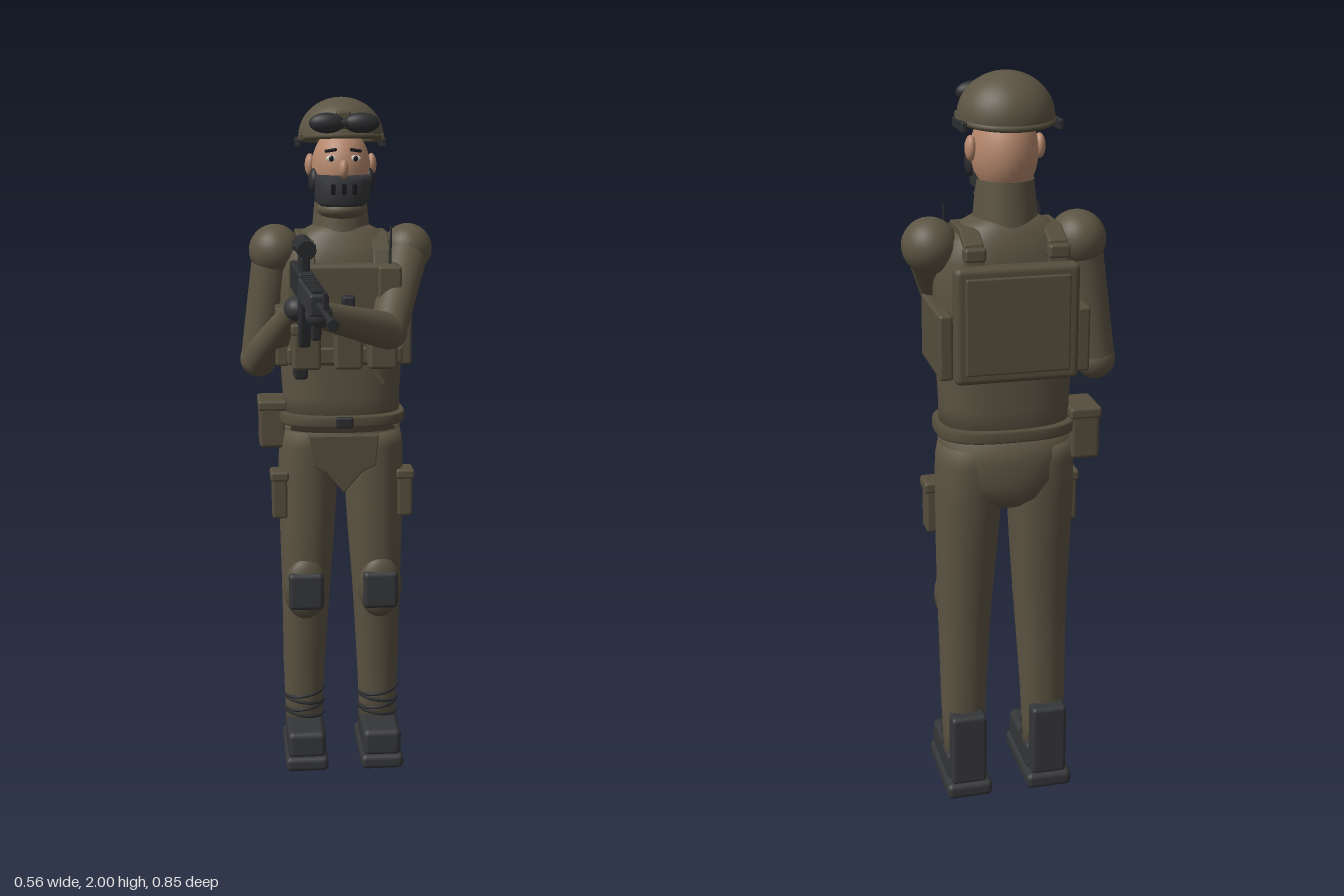
import * as THREE from 'three';
import { RoundedBoxGeometry } from 'three/addons/geometries/RoundedBoxGeometry.js';

const mat = (name, color, side = THREE.FrontSide) =>
  Object.assign(new THREE.MeshStandardMaterial({ color, side }), { name });

export function createModel() {
  const cloth = mat('olive cloth', 0x5c5443, THREE.DoubleSide);
  const gear = mat('olive gear', 0x554e3d);
  const metal = mat('dark metal', 0x2c2d2f);
  const rubber = mat('dark rubber', 0x353638);
  const skin = mat('skin', 0xb5876c);
  const white = mat('eye white', 0xd8d2c8);
  const black = mat('black', 0x17171a);
  const root = new THREE.Group();
  const CX = 0.014; // body centre line

  const put = (parent, name, geo, m, x = 0, y = 0, z = 0) => {
    const mesh = new THREE.Mesh(geo, m);
    mesh.name = name;
    mesh.position.set(x, y, z);
    parent.add(mesh);
    return mesh;
  };
  const box = (parent, name, m, w, h, d, x, y, z, r = 0.008) =>
    put(parent, name, new RoundedBoxGeometry(w, h, d, 2, Math.min(r, w * 0.4, h * 0.4, d * 0.4)), m, x, y, z);
  const ball = (parent, name, m, rx, ry, rz, x, y, z) =>
    put(parent, name, new THREE.SphereGeometry(1, 28, 18).scale(rx, ry, rz), m, x, y, z);
  // tapered rod from a to b
  const rod = (parent, name, m, a, b, r1, r2) => {
    const p = new THREE.Vector3(...a), q = new THREE.Vector3(...b), d = q.clone().sub(p);
    const mesh = put(parent, name, new THREE.CylinderGeometry(r2, r1, d.length(), 24), m);
    mesh.position.copy(p).add(q).multiplyScalar(0.5);
    mesh.quaternion.setFromUnitVectors(new THREE.Vector3(0, 1, 0), d.normalize());
    return mesh;
  };
  // rounded cross-sections [y, rx, rz, cx, cz] listed from bottom to top
  const loft = (rings, power = 2, n = 36) => {
    const pos = [], idx = [], e = 2 / power;
    const first = rings[0], last = rings[rings.length - 1];
    const all = [[first[0], 0.001, 0.001, first[3], first[4]], ...rings, [last[0], 0.001, 0.001, last[3], last[4]]];
    all.forEach(([y, rx, rz, cx, cz], i) => {
      for (let j = 0; j < n; j++) {
        const t = (j / n) * Math.PI * 2, c = Math.cos(t), s = Math.sin(t);
        pos.push(cx + rx * Math.sign(c) * Math.abs(c) ** e, y, cz + rz * Math.sign(s) * Math.abs(s) ** e);
        if (i === all.length - 1) continue;
        const a = i * n + j, b = i * n + (j + 1) % n;
        idx.push(a, a + n, b, b, a + n, b + n);
      }
    });
    const g = new THREE.BufferGeometry();
    g.setAttribute('position', new THREE.Float32BufferAttribute(pos, 3));
    g.setIndex(idx);
    g.computeVertexNormals();
    return g;
  };

  // torso, neck and hips
  put(root, 'torso', loft([
    [1.05, 0.172, 0.113, CX, -0.26], [1.15, 0.173, 0.114, CX, -0.26], [1.28, 0.18, 0.117, CX, -0.262],
    [1.45, 0.185, 0.12, CX, -0.262], [1.54, 0.18, 0.116, CX, -0.262], [1.59, 0.155, 0.1, CX, -0.265],
    [1.625, 0.115, 0.085, CX, -0.265], [1.645, 0.075, 0.07, CX, -0.265]], 2.4), cloth);
  put(root, 'neck', new THREE.CylinderGeometry(0.073, 0.085, 0.12, 32), cloth, CX, 1.675, -0.266);
  put(root, 'hips', loft([
    [0.87, 0.05, 0.06, CX, -0.28], [0.9, 0.1, 0.095, CX, -0.28], [0.95, 0.15, 0.115, CX, -0.275],
    [1.01, 0.175, 0.119, CX, -0.268], [1.08, 0.178, 0.115, CX, -0.262]], 2.3), cloth);
  put(root, 'belt', loft([[1.07, 0.184, 0.127, CX, -0.257], [1.075, 0.187, 0.13, CX, -0.257],
    [1.097, 0.187, 0.13, CX, -0.257], [1.102, 0.184, 0.127, CX, -0.257]], 2.8), gear);
  box(root, 'buckle', metal, 0.05, 0.034, 0.018, CX, 1.086, -0.125);
  const flap = new THREE.Shape([[-0.098, 1.04], [-0.09, 0.955], [-0.05, 0.935], [0, 0.875], [0.05, 0.935], [0.09, 0.955], [0.098, 1.04]]
    .map(([x, y]) => new THREE.Vector2(x, y)));
  put(root, 'groinFlap', new THREE.ExtrudeGeometry(flap, { depth: 0.1, bevelSize: 0.004, bevelThickness: 0.004, bevelSegments: 2 }), gear, CX, 0, -0.245);

  // legs, knee pads, thigh pouches and boots
  for (const s of [-1, 1]) {
    const X = (d) => CX + s * d;
    put(root, 'leg', loft([
      [0.09, 0.056, 0.045, X(0.115), -0.272], [0.18, 0.059, 0.05, X(0.115), -0.268], [0.3, 0.064, 0.055, X(0.114), -0.266],
      [0.45, 0.069, 0.068, X(0.11), -0.257], [0.57, 0.074, 0.078, X(0.107), -0.252], [0.75, 0.083, 0.089, X(0.102), -0.26],
      [0.9, 0.089, 0.1, X(0.099), -0.267], [1.0, 0.088, 0.105, X(0.097), -0.267], [1.045, 0.08, 0.1, X(0.096), -0.265]], 2.15), cloth);
    ball(root, 'kneePadBase', gear, 0.066, 0.095, 0.034, X(0.112), 0.562, -0.183);
    box(root, 'kneePad', rubber, 0.105, 0.115, 0.036, X(0.112), 0.56, -0.166, 0.014);
    box(root, 'thighPouch', gear, 0.045, 0.135, 0.064, X(0.187), 0.848, -0.222);
    box(root, 'thighPouchFlap', gear, 0.055, 0.03, 0.072, X(0.187), 0.91, -0.222);
    box(root, 'bootSole', rubber, 0.13, 0.046, 0.265, X(0.115), 0.023, -0.228, 0.016);
    box(root, 'boot', rubber, 0.116, 0.085, 0.21, X(0.115), 0.08, -0.212, 0.018);
    box(root, 'bootHeel', rubber, 0.1, 0.21, 0.052, X(0.115), 0.147, -0.325, 0.012);
    for (let i = 0; i < 4; i++) {
      const lace = put(root, 'lace', new THREE.TorusGeometry(0.059, 0.005, 6, 28, Math.PI), metal, X(0.115), 0.135 + i * 0.022, -0.268);
      lace.rotation.set(Math.PI / 2, i % 2 ? 0.15 : -0.15, 0);
    }
  }
  box(root, 'hipPouch', gear, 0.08, 0.14, 0.12, -0.19, 1.06, -0.28, 0.012);
  box(root, 'hipPouchLid', gear, 0.086, 0.03, 0.126, -0.19, 1.118, -0.28);

  // vest
  box(root, 'chestPlate', gear, 0.315, 0.29, 0.06, CX, 1.4, -0.142, 0.014);
  box(root, 'chestBand', gear, 0.33, 0.05, 0.07, CX, 1.285, -0.142);
  box(root, 'backPack', gear, 0.32, 0.3, 0.05, CX + 0.003, 1.395, -0.398, 0.016);
  box(root, 'backPanel', gear, 0.27, 0.25, 0.016, CX + 0.003, 1.395, -0.419, 0.006);
  for (const s of [-1, 1]) {
    box(root, 'sidePanel', gear, 0.036, 0.17, 0.24, CX + s * 0.178, 1.335, -0.265);
    const strap = [[1.5, -0.39], [1.59, -0.375], [1.615, -0.32], [1.615, -0.22], [1.575, -0.155], [1.5, -0.125]];
    for (let i = 0; i < strap.length - 1; i++) {
      const [y1, z1] = strap[i], [y2, z2] = strap[i + 1];
      const seg = box(root, 'shoulderStrap', gear, 0.05, 0.02, Math.hypot(y2 - y1, z2 - z1) + 0.014,
        CX + s * 0.107, (y1 + y2) / 2, (z1 + z2) / 2, 0.005);
      seg.rotation.x = -Math.atan2(y2 - y1, z2 - z1);
    }
    box(root, 'strapBuckle', gear, 0.055, 0.035, 0.04, CX + s * 0.107, 1.572, -0.385);
  }
  for (const [x, w] of [[-0.1, 0.08], [0.018, 0.078], [0.115, 0.08]]) {
    box(root, 'magazinePouch', gear, w, 0.12, 0.09, x, 1.32, -0.07, 0.01);
    box(root, 'pouchFlap', gear, w + 0.006, 0.03, 0.096, x, 1.374, -0.07, 0.006);
  }
  box(root, 'handset', metal, 0.036, 0.09, 0.04, 0.018, 1.42, -0.06);
  box(root, 'radioPouch', gear, 0.066, 0.13, 0.05, 0.14, 1.475, -0.115);
  rod(root, 'antenna', metal, [0.142, 1.53, -0.13], [0.146, 1.65, -0.14], 0.005, 0.003);
  const tag = box(root, 'strapEnd', gear, 0.018, 0.075, 0.012, 0.105, 1.23, -0.115, 0.004);
  tag.rotation.z = 0.6;

  // arms and gloves
  const arm = (shoulder, elbow, hand, rs) => {
    ball(root, 'shoulder', cloth, rs, rs, rs + 0.004, ...shoulder);
    rod(root, 'upperArm', cloth, shoulder, elbow, 0.064, 0.052);
    ball(root, 'elbow', cloth, 0.054, 0.054, 0.054, ...elbow);
    rod(root, 'forearm', cloth, elbow, hand, 0.053, 0.036);
    ball(root, 'glove', rubber, 0.038, 0.036, 0.044, ...hand);
  };
  arm([-0.177, 1.57, -0.264], [-0.228, 1.25, -0.28], [-0.125, 1.43, -0.06], 0.075);
  arm([0.208, 1.572, -0.264], [0.13, 1.365, -0.05], [-0.078, 1.445, 0.15], 0.072);

  // head and face
  const head = new THREE.Group();
  head.name = 'head';
  head.position.set(CX, 1.8, -0.255);
  root.add(head);
  ball(head, 'skull', skin, 0.085, 0.118, 0.098, 0, 0, 0);
  ball(head, 'nose', skin, 0.014, 0.026, 0.02, 0, 0.005, 0.096);
  for (const s of [-1, 1]) {
    ball(head, 'ear', skin, 0.015, 0.032, 0.022, s * 0.088, 0.012, -0.01);
    ball(head, 'eye', white, 0.015, 0.009, 0.005, s * 0.034, 0.034, 0.086);
    ball(head, 'pupil', black, 0.007, 0.008, 0.004, s * 0.034, 0.034, 0.089);
    box(head, 'brow', black, 0.034, 0.009, 0.009, s * 0.035, 0.056, 0.081, 0.003).rotation.z = -s * 0.15;
    ball(head, 'maskFilter', metal, 0.017, 0.035, 0.026, s * 0.078, -0.03, 0.03);
    box(head, 'headsetRail', metal, 0.014, 0.026, 0.115, s * 0.121, 0.074, -0.035, 0.004);
    box(head, 'helmetClip', gear, 0.026, 0.02, 0.04, s * 0.108, 0.09, 0.01, 0.004);
  }
  put(head, 'mask', loft([[-0.1, 0.062, 0.062, 0, 0.03], [-0.088, 0.077, 0.077, 0, 0.03], [-0.03, 0.081, 0.079, 0, 0.028],
    [-0.012, 0.078, 0.073, 0, 0.026]], 2.6), rubber);
  for (const x of [-0.03, 0, 0.03]) box(head, 'maskSlot', black, 0.012, 0.03, 0.008, x, -0.05, 0.107, 0.002);
  ball(head, 'scarf', cloth, 0.072, 0.035, 0.07, 0, -0.11, 0.02);

  // helmet and goggles
  const helmet = new THREE.Group();
  helmet.name = 'helmet';
  helmet.position.set(CX + 0.002, 1.89, -0.278);
  helmet.rotation.x = -0.1;
  root.add(helmet);
  put(helmet, 'helmetShell', new THREE.SphereGeometry(1, 40, 20, 0, Math.PI * 2, 0, Math.PI * 0.53).scale(0.122, 0.11, 0.118), cloth);
  const rim = put(helmet, 'helmetRim', new THREE.TorusGeometry(0.117, 0.008, 8, 40), gear, 0, -0.005, 0);
  rim.rotation.x = Math.PI / 2;
  for (const s of [-1, 1]) ball(root, 'goggleLens', metal, 0.05, 0.028, 0.024, CX + s * 0.048, 1.932, -0.138);
  box(root, 'goggleBridge', metal, 0.05, 0.02, 0.03, CX, 1.932, -0.138);
  box(root, 'goggleMount', gear, 0.04, 0.05, 0.05, CX, 1.94, -0.17);

  // rifle, pointing along its own +z
  const rifle = new THREE.Group();
  rifle.name = 'rifle';
  rifle.position.set(-0.105, 1.503, 0);
  root.add(rifle);
  rifle.lookAt(-0.06, 1.459, 0.42);
  rod(rifle, 'barrel', metal, [0, 0, 0.18], [0, 0, 0.42], 0.009, 0.008);
  rod(rifle, 'muzzle', metal, [0, 0, 0.392], [0, 0, 0.424], 0.014, 0.015);
  box(rifle, 'handguard', rubber, 0.052, 0.06, 0.205, 0, -0.002, 0.12, 0.008);
  for (let i = 0; i < 9; i++) box(rifle, 'railTooth', metal, 0.036, 0.012, 0.011, 0, 0.032, 0.03 + i * 0.022, 0.002);
  box(rifle, 'receiver', metal, 0.046, 0.075, 0.16, 0, 0, -0.055);
  box(rifle, 'stock', metal, 0.036, 0.085, 0.06, 0, -0.01, -0.14);
  box(rifle, 'frontSight', metal, 0.01, 0.05, 0.012, 0, 0.03, 0.3, 0.003);
  box(rifle, 'scopeMount', metal, 0.028, 0.045, 0.05, 0, 0.055, -0.028);
  rod(rifle, 'scope', metal, [0, 0.1, -0.072], [0, 0.1, 0.02], 0.026, 0.026);
  box(rifle, 'scopeKnob', metal, 0.064, 0.016, 0.02, 0, 0.1, -0.028, 0.004);
  box(rifle, 'magazine', metal, 0.034, 0.15, 0.05, 0, -0.1, -0.01).rotation.x = 0.15;
  box(rifle, 'pistolGrip', metal, 0.038, 0.12, 0.042, 0, -0.225, -0.065);
  box(rifle, 'foreGrip', metal, 0.026, 0.075, 0.028, 0, -0.07, 0.17);
  return root;
}
